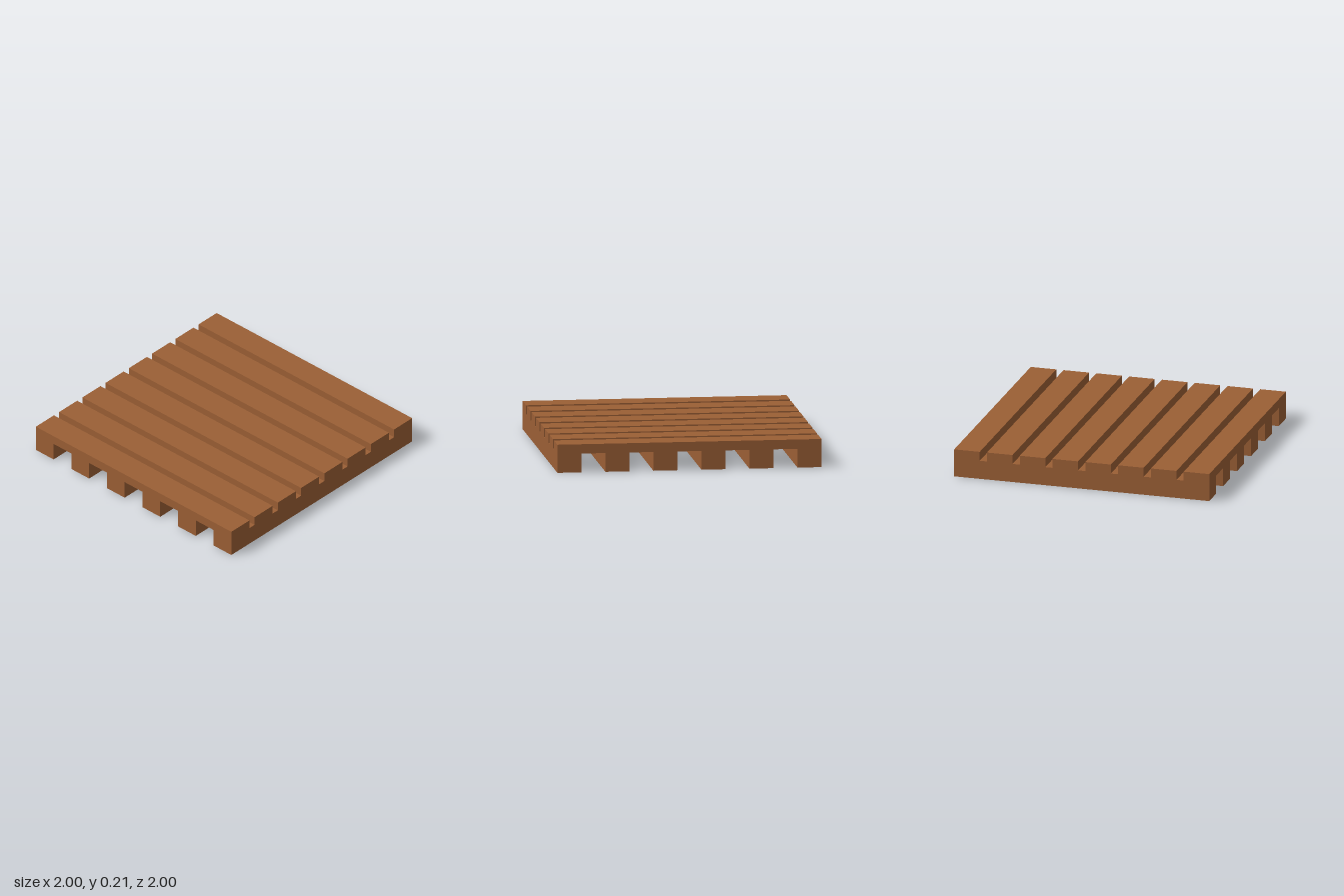
import * as THREE from 'three';

export function createModel() {
  const wood = new THREE.MeshStandardMaterial({ color: 0x9b5f35 });
  wood.name = 'brown wood';
  const model = new THREE.Group();
  model.name = 'slattedPallet';

  const size = 2;
  const runnerCount = 6, runnerWidth = size / 11, runnerHeight = 0.143;
  const slatCount = 8, slatWidth = 0.2, slatHeight = 0.071;

  // Evenly spaced centres, with the outer pieces flush with the edges
  const centre = (i, count, width) => -size / 2 + width / 2 + (i * (size - width)) / (count - 1);

  // Runners from front to back, resting on the ground
  const runnerShape = new THREE.BoxGeometry(runnerWidth, runnerHeight, size);
  for (let i = 0; i < runnerCount; i++) {
    const runner = new THREE.Mesh(runnerShape, wood);
    runner.name = `runner${i + 1}`;
    runner.position.set(centre(i, runnerCount, runnerWidth), runnerHeight / 2, 0);
    model.add(runner);
  }

  // Deck slats from side to side, laid on the runners
  const slatShape = new THREE.BoxGeometry(size, slatHeight, slatWidth);
  for (let i = 0; i < slatCount; i++) {
    const slat = new THREE.Mesh(slatShape, wood);
    slat.name = `deckSlat${i + 1}`;
    slat.position.set(0, runnerHeight + slatHeight / 2, centre(i, slatCount, slatWidth));
    model.add(slat);
  }

  return model;
}
